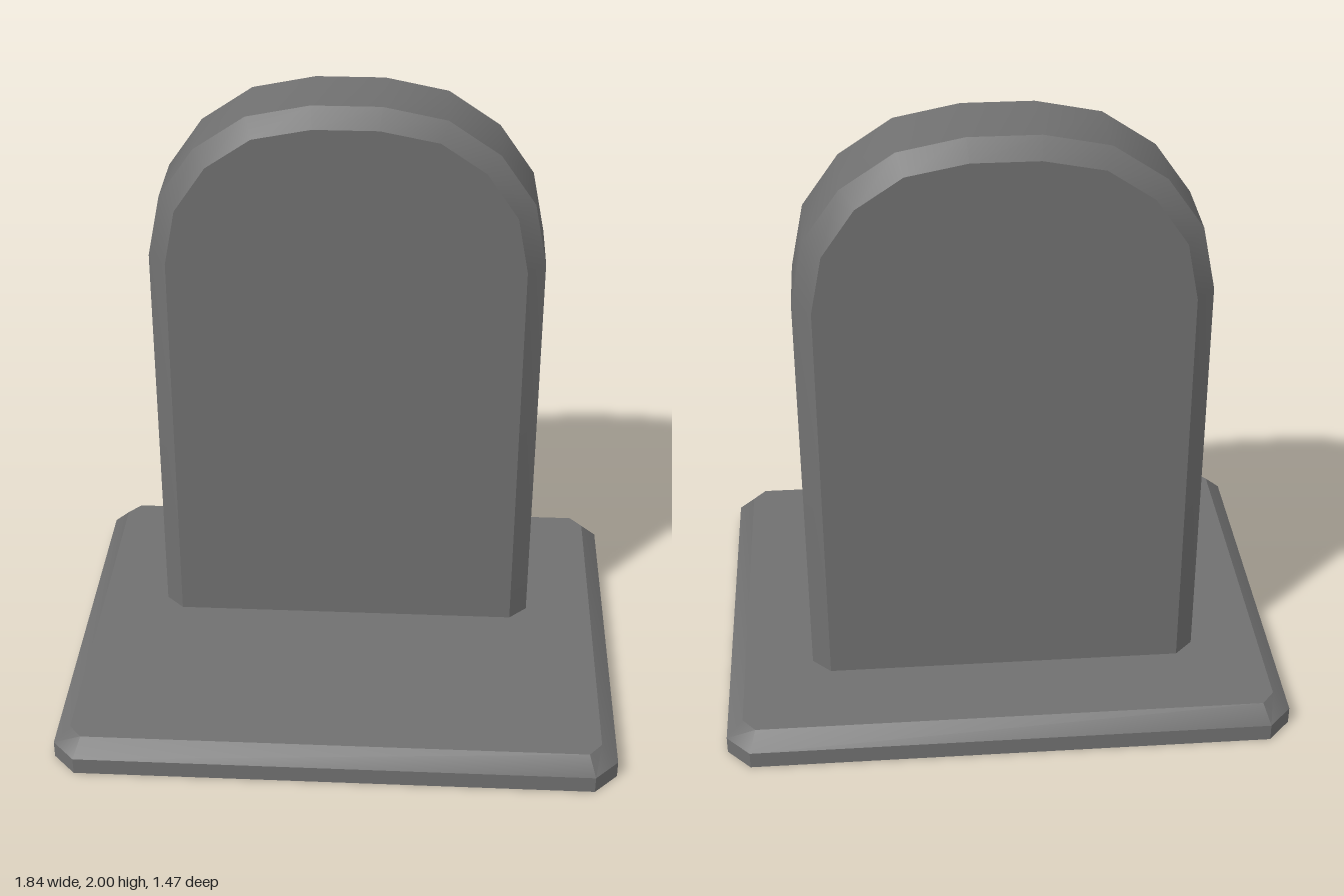
import * as THREE from 'three';
import { toCreasedNormals } from 'three/addons/utils/BufferGeometryUtils.js';

// Skin stacked convex outlines (counter-clockwise, rising z) and cap both ends
function loft(layers) {
  const pos = [], idx = [];
  const n = layers[0].outline.length;
  for (const { outline, z } of layers) for (const [x, y] of outline) pos.push(x, y, z);
  for (let k = 0; k < layers.length - 1; k++) {
    for (let i = 0; i < n; i++) {
      const j = (i + 1) % n;
      const a = k * n + i, b = k * n + j, c = a + n, d = b + n;
      idx.push(a, b, d, a, d, c);
    }
  }
  const top = (layers.length - 1) * n;
  for (let i = 1; i < n - 1; i++) {
    idx.push(0, i + 1, i, top, top + i, top + i + 1);
  }
  const geo = new THREE.BufferGeometry();
  geo.setAttribute('position', new THREE.Float32BufferAttribute(pos, 3));
  geo.setIndex(idx);
  return toCreasedNormals(geo.toNonIndexed(), 0.6);
}

// Mirror the right half of an outline (listed bottom to top) across x = 0
const mirrorX = (half) => [...half, ...half.map(([x, y]) => [-x, y]).reverse()];

// Rectangle with cut corners
const cutRect = (x, z, cx, cz) => mirrorX([[x - cx, -z], [x, -z + cz], [x, z - cz], [x - cx, z]]);

export function createModel() {
  const group = new THREE.Group();
  const stone = new THREE.MeshStandardMaterial({ color: 0x707070 });
  stone.name = 'darkStone';

  // Base plate with a bevelled upper rim
  const foot = cutRect(0.922, 0.735, 0.076, 0.08);
  const baseGeo = loft([
    { outline: foot, z: 0 },
    { outline: foot, z: 0.057 },
    { outline: cutRect(0.868, 0.683, 0.042, 0.05), z: 0.11 },
  ]);
  baseGeo.rotateX(-Math.PI / 2);
  const base = new THREE.Mesh(baseGeo, stone);
  base.name = 'basePlate';
  group.add(base);

  // Upright arched slab, bevelled front and back
  const rim = mirrorX([[0.642, 0.1], [0.642, 1.475], [0.6, 1.682], [0.485, 1.846], [0.317, 1.959], [0.112, 2]]);
  const face = mirrorX([[0.582, 0.1], [0.582, 1.47], [0.545, 1.657], [0.442, 1.807], [0.295, 1.906], [0.105, 1.943]]);
  const slab = new THREE.Mesh(loft([
    { outline: face, z: -0.408 },
    { outline: rim, z: -0.35 },
    { outline: rim, z: -0.095 },
    { outline: face, z: -0.037 },
  ]), stone);
  slab.name = 'archedSlab';
  group.add(slab);

  return group;
}
